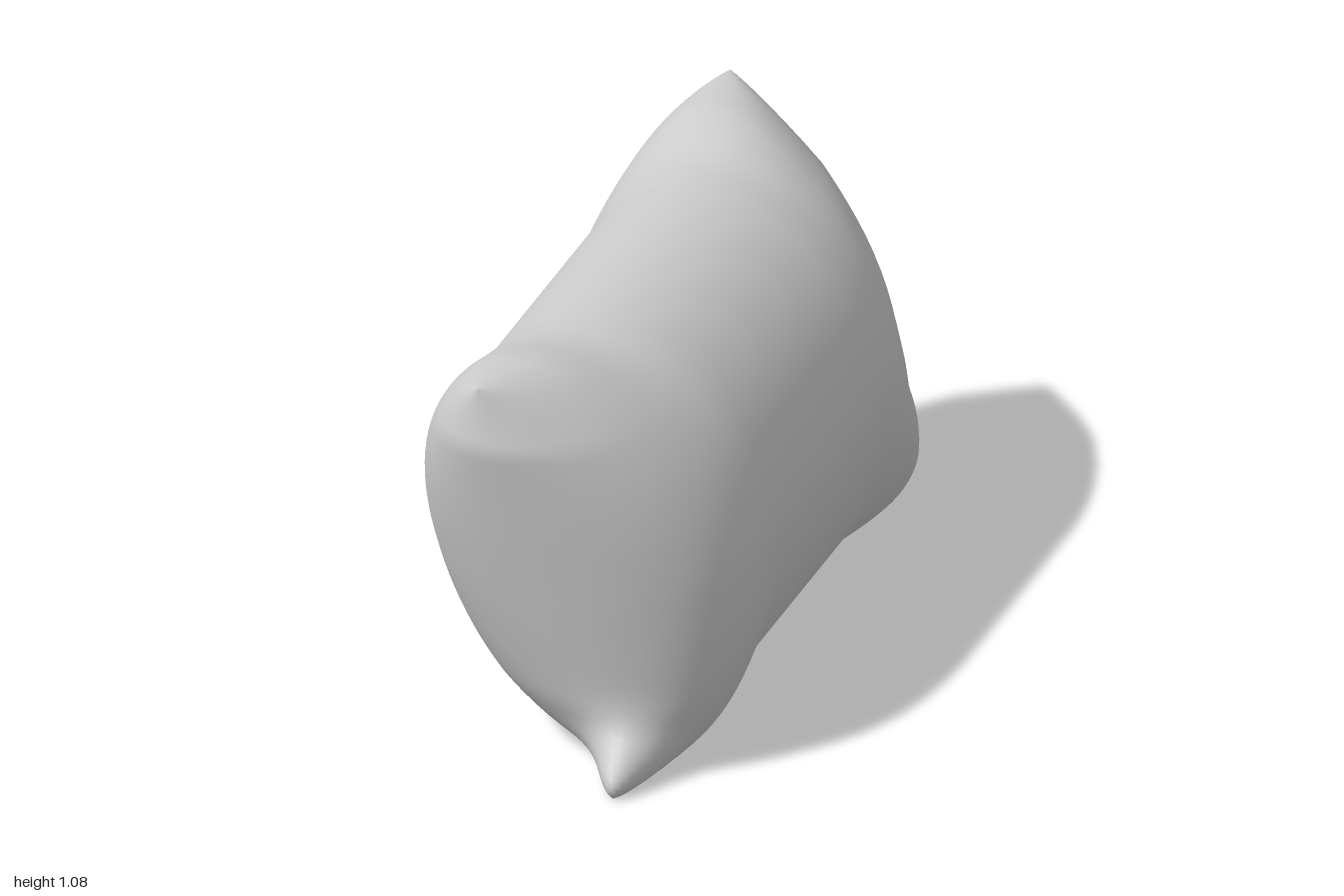
import * as THREE from 'three';
import { mergeVertices } from 'three/addons/utils/BufferGeometryUtils.js';

// Seam depth along each end: [s, z], s runs from bottom corner (-1) to top corner (1)
const FRONT = [[-1, 0.8], [-0.85, 0.84], [-0.65, 0.88], [-0.1, 0.93], [0.25, 0.96], [0.75, 1], [1, 0.97]];
const BACK = [[-1, 0.99], [-0.7, 1], [-0.4, 0.92], [-0.15, 0.85], [0.05, 0.89], [0.3, 0.94], [0.75, 0.99], [1, 0.95]];

function sample(table, s) {
  for (let i = 1; i < table.length; i++) {
    const [s0, z0] = table[i - 1], [s1, z1] = table[i];
    if (s <= s1) return THREE.MathUtils.lerp(z0, z1, (s - s0) / (s1 - s0));
  }
  return table[table.length - 1][1];
}

const bump = (v, centre, width) => Math.exp(-(((v - centre) / width) ** 2));

// A point on the cushion: u runs -1..1 from back to front, t goes round the section
function surfacePoint(u, t) {
  const front = u > 0;
  const s = Math.cos(t), sine = Math.sin(t);
  const straight = 0.35, start = 0.42;
  // fe is 0 along the straight body and reaches 1 at the end seam
  const f = Math.max(0, (Math.abs(u) - straight) / (1 - straight));
  const fe = Math.sin(f * Math.PI / 2);
  const width = Math.max(0, 1 - fe ** 3) ** 0.52;

  // Upright oval in the middle, leaning and squarer towards the corners
  const side = Math.sign(sine) * Math.abs(sine) ** ((s < 0 ? 0.88 : 1) - 0.15 * fe);
  const lean = THREE.MathUtils.lerp(s < 0 ? 0.035 : 0.07, 0.18, fe);
  const x = -lean * s + 0.415 * side * width;
  const rise = THREE.MathUtils.smoothstep(fe, 0.15, 0.65);
  const ear = (front ? 0.04 : 0.06) * Math.max(0, s) ** 6 * rise;
  const y = 0.515 + (s < 0 ? 0.513 : 0.505) * s + ear;

  // Rounded end: a small pinched tip low on the front, a one-sided fold on the back
  const seam = sample(front ? FRONT : BACK, s);
  const detail = front
    ? 0.19 * bump(x, 0.19, 0.1) * bump(y, 0.02, 0.1) * fe ** 3
    : -0.75 * bump(s, 0.1, 0.25) * side * fe ** 4 * (1 - fe);
  const z = f > 0 ? start + (seam - start) * fe + detail : start * Math.abs(u) / straight;
  return [x, y, front ? z : -z];
}

function cushionGeometry(rings = 80, around = 96) {
  const positions = [], index = [];
  for (let j = 0; j <= rings; j++) {
    for (let i = 0; i < around; i++) {
      positions.push(...surfacePoint((j / rings) * 2 - 1, (i / around) * Math.PI * 2));
    }
  }
  for (let j = 0; j < rings; j++) {
    for (let i = 0; i < around; i++) {
      const a = j * around + i, b = j * around + (i + 1) % around;
      index.push(a, a + around, b, b, a + around, b + around);
    }
  }
  const geometry = new THREE.BufferGeometry();
  geometry.setAttribute('position', new THREE.Float32BufferAttribute(positions, 3));
  geometry.setIndex(index);
  // Weld the two halves of each end seam so shading stays smooth
  const welded = mergeVertices(geometry, 1e-4);
  welded.computeVertexNormals();
  return welded;
}

export function createModel() {
  const model = new THREE.Group();
  model.name = 'pillow';
  const cushion = new THREE.Mesh(
    cushionGeometry(),
    new THREE.MeshStandardMaterial({ color: 0xcccccc, side: THREE.DoubleSide })
  );
  cushion.name = 'cushion';
  model.add(cushion);
  return model;
}
